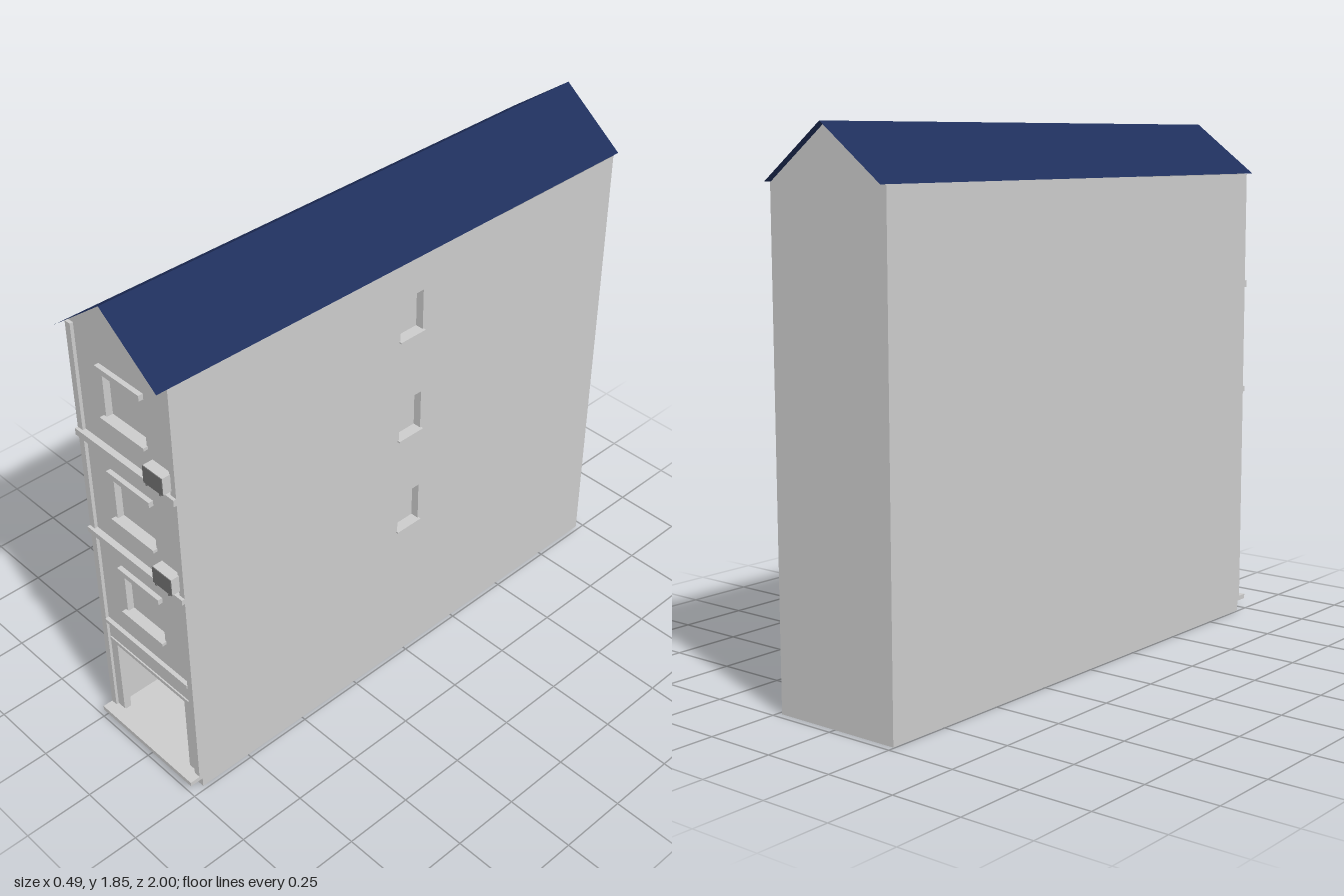
import * as THREE from 'three';

const L = -0.245, R = 0.235, MID = -0.005;   // side walls and ridge line
const EAVE = 1.665, RIDGE = 1.845;
const FRONT = 0.95, BACK = -0.975;

const mat = (color) => new THREE.MeshStandardMaterial({ color, side: THREE.DoubleSide, flatShading: true });
const grey = mat(0xcccccc), dark = mat(0x707070), blue = mat(0x1f2f5c);

export function createModel() {
  const model = new THREE.Group();

  const add = (name, geometry, material = grey, parent = model) => {
    const mesh = new THREE.Mesh(geometry, material);
    mesh.name = name;
    parent.add(mesh);
    return mesh;
  };

  // Box given by its limits on each axis
  const box = (name, x0, x1, y0, y1, z0, z1, material = grey, parent = model) => {
    const mesh = add(name, new THREE.BoxGeometry(x1 - x0, y1 - y0, z1 - z0), material, parent);
    mesh.position.set((x0 + x1) / 2, (y0 + y1) / 2, (z0 + z1) / 2);
    return mesh;
  };

  // Flat wall from an outline, with rectangular holes [x0, x1, y0, y1]
  const wall = (name, outline, holes = []) => {
    const shape = new THREE.Shape(outline.map(([x, y]) => new THREE.Vector2(x, y)));
    for (const [x0, x1, y0, y1] of holes) {
      shape.holes.push(new THREE.Path([[x0, y0], [x0, y1], [x1, y1], [x1, y0]]
        .map(([x, y]) => new THREE.Vector2(x, y))));
    }
    return add(name, new THREE.ShapeGeometry(shape));
  };

  // Five-sided niche, open towards +z, with its mouth at z = 0
  const niche = (name, [x0, x1, y0, y1], depth, parent = model) => {
    const g = new THREE.BoxGeometry(x1 - x0, y1 - y0, depth);
    const index = Array.from(g.index.array);
    index.splice(24, 6);
    g.setIndex(index);
    g.clearGroups();
    g.translate((x0 + x1) / 2, (y0 + y1) / 2, -depth / 2);
    return add(name, g, grey, parent);
  };

  // Openings
  const frontWindows = [0.58, 0.98, 1.38].map((y) => [-0.1, 0.095, y, y + 0.18]);
  const shop = [-0.22, 0.21, 0.05, 0.455];
  const sideWindows = [0.59, 0.988, 1.387].map((y) => [-0.04, 0.06, y, y + 0.15]);

  // Shell, open underneath
  const gable = [[L, 0], [R, 0], [R, EAVE], [MID, RIDGE], [L, EAVE]];
  wall('frontWall', gable, [...frontWindows, shop]).position.z = FRONT;
  wall('backWall', gable).position.z = BACK;
  const side = [[-FRONT, 0], [-BACK, 0], [-BACK, EAVE], [-FRONT, EAVE]];
  const rightSide = wall('windowedSideWall', side, sideWindows);
  const leftSide = wall('plainSideWall', side);
  for (const [mesh, x] of [[rightSide, R], [leftSide, L]]) {
    mesh.rotation.y = Math.PI / 2;
    mesh.position.x = x;
  }

  // Thin roof slopes, overhanging front and back
  [[L, 'leftRoofSlope'], [R, 'rightRoofSlope']].forEach(([x, name]) => {
    const slope = add(name, new THREE.PlaneGeometry(Math.hypot(x - MID, RIDGE - EAVE), 2), blue);
    slope.geometry.rotateX(-Math.PI / 2);
    slope.position.set((x + MID) / 2, (EAVE + RIDGE) / 2 + 0.002, 0);
    slope.rotation.z = Math.atan2(RIDGE - EAVE, MID - x) + (x > MID ? Math.PI : 0);
  });

  // Corner pilasters and floor bands
  box('leftPilaster', L, -0.22, 0.055, EAVE, FRONT, 0.962);
  box('rightPilaster', 0.21, R, 0.055, EAVE, FRONT, 0.962);
  for (const [y0, y1] of [[0.85, 0.87], [1.245, 1.27]]) box('floorBand', L, R, y0, y1, FRONT, 0.973);
  box('shopCornice', -0.22, 0.21, 0.458, 0.472, FRONT, 0.965);

  // Front windows with lintels and sills
  for (const w of frontWindows) {
    niche('frontWindow', w, 0.025).position.z = FRONT;
    box('lintel', -0.11, 0.1, w[3] - 0.005, w[3] + 0.015, FRONT, 0.967);
    box('sill', -0.11, 0.1, w[2] - 0.008, w[2] + 0.003, FRONT, 0.967);
  }

  // Side windows with sills
  for (const w of sideWindows) {
    const group = new THREE.Group();
    group.name = 'sideWindow';
    group.rotation.y = Math.PI / 2;
    group.position.x = R;
    niche('sideWindowRecess', w, 0.03, group);
    box('sideSill', w[0] - 0.005, w[1] + 0.005, w[2] - 0.006, w[2], -0.01, 0.01, grey, group);
    model.add(group);
  }

  // Open shop front: room, columns, fascia and step
  niche('shopRoom', shop, 0.25).position.z = FRONT;
  box('leftShopColumn', -0.22, -0.185, 0.05, 0.38, 0.925, 0.952);
  box('rightShopColumn', 0.172, 0.21, 0.05, 0.38, 0.925, 0.952);
  box('shopFascia', -0.22, 0.21, 0.385, 0.458, 0.925, 0.952);
  box('shopLintel', -0.215, 0.205, 0.373, 0.387, 0.925, 0.957);
  box('doorStep', L, R, 0.038, 0.055, FRONT, 1);

  // Air conditioners on brackets
  for (const y of [0.89, 1.288]) {
    box('airConditioner', 0.125, 0.215, y, y + 0.063, 0.955, 0.992);
    box('airConditionerGrille', 0.125, 0.215, y, y + 0.063, 0.992, 0.995, dark);
    for (const x of [0.135, 0.199]) box('bracket', x, x + 0.006, y - 0.006, y, FRONT, 0.996, dark);
  }

  return model;
}
